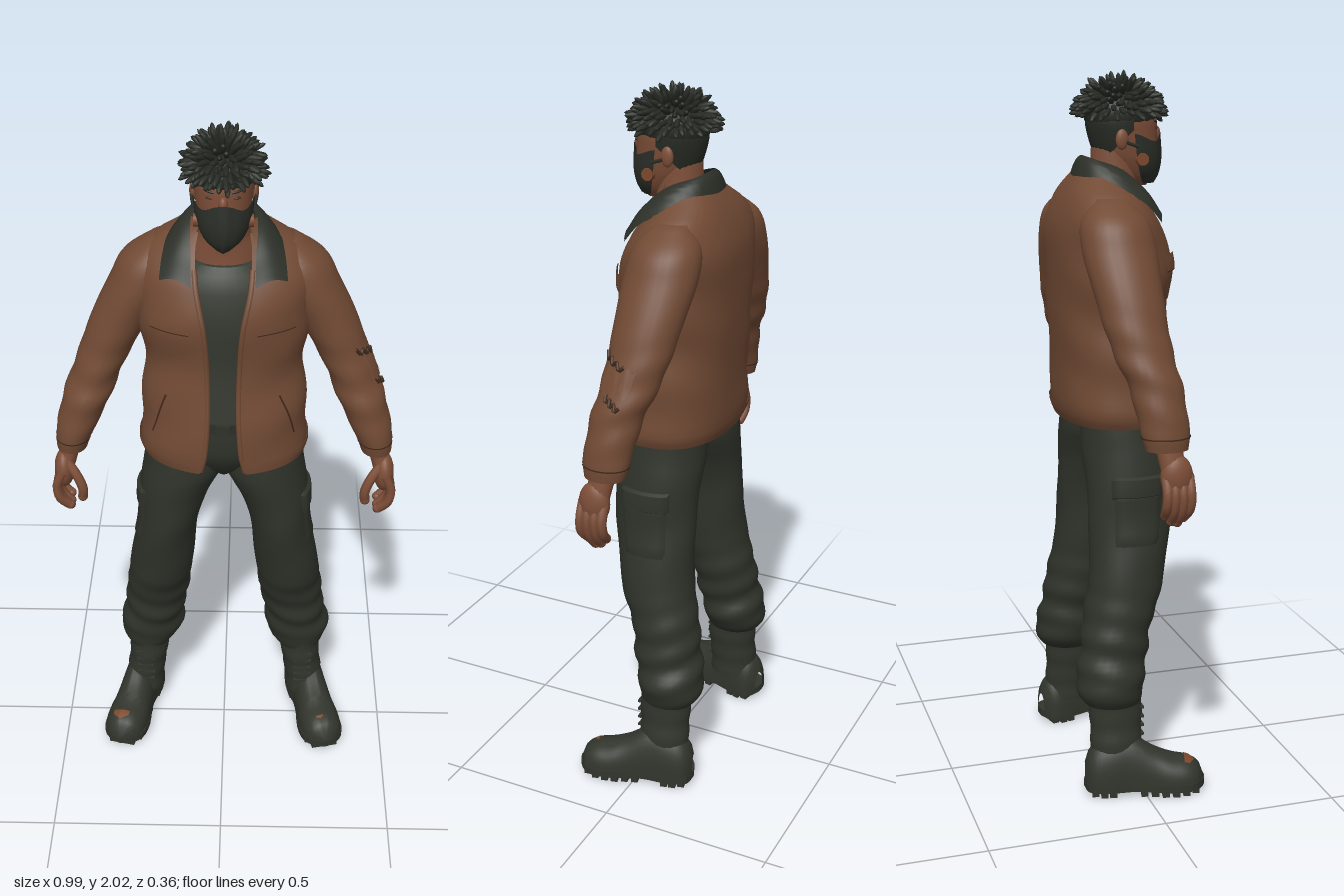
import * as THREE from 'three';
import { mergeGeometries, toCreasedNormals } from 'three/addons/utils/BufferGeometryUtils.js';

const V = (x, y, z) => new THREE.Vector3(x, y, z);
const mat = (name, color, side = THREE.FrontSide) => {
  const m = new THREE.MeshStandardMaterial({ color, side });
  m.name = name;
  return m;
};

// Smooth interpolation of station rows by their first column
function sample(st, t) {
  let i = 0;
  while (i < st.length - 2 && t > st[i + 1][0]) i++;
  const a = st[i], b = st[i + 1], h = b[0] - a[0], k = (t - a[0]) / h;
  const slope = (n, c) => {
    const p = st[Math.max(n - 1, 0)], q = st[Math.min(n + 1, st.length - 1)];
    return (q[c] - p[c]) / (q[0] - p[0]);
  };
  const k2 = k * k, k3 = k2 * k;
  return a.map((_, c) => c === 0 ? t : (2 * k3 - 3 * k2 + 1) * a[c] + (k3 - 2 * k2 + k) * h * slope(i, c)
    + (3 * k2 - 2 * k3) * b[c] + (k3 - k2) * h * slope(i + 1, c));
}

// Surface from a rule fn(u, v), both 0..1
function grid(fn, nu, nv, crease = 0.9) {
  const pos = [], idx = [];
  for (let i = 0; i <= nu; i++) for (let j = 0; j <= nv; j++) pos.push(...fn(i / nu, j / nv).toArray());
  for (let i = 0; i < nu; i++) for (let j = 0; j < nv; j++) {
    const a = i * (nv + 1) + j, b = a + nv + 1;
    idx.push(a, b, a + 1, b, b + 1, a + 1);
  }
  const g = new THREE.BufferGeometry();
  g.setAttribute('position', new THREE.Float32BufferAttribute(pos, 3));
  g.setIndex(idx);
  return toCreasedNormals(g, crease);
}

// Point on an upright loft; stations are [y, x, z, rx, rz]
const onLoft = (st, y, a, k = 1, s = 1, folds = () => 0) => {
  const [, x, z, rx, rz] = sample(st, y), r = k * (1 + folds(y, a));
  return V(s * x + Math.cos(a) * rx * r, y, z + Math.sin(a) * rz * r);
};
// Closed loft with flat end caps
function loft(st, rows = 24, seg = 24, s = 1, folds) {
  const y0 = st[0][0], y1 = st[st.length - 1][0];
  return grid((u, v) => {
    const row = Math.round(u * (rows + 2)) - 1;
    const y = y0 + (y1 - y0) * Math.min(Math.max(row / rows, 0), 1);
    return onLoft(st, y, v * Math.PI * 2, row < 0 || row > rows ? 0 : 1, s, folds);
  }, rows + 2, seg);
}
const tube = (pts, r, n = 10) => new THREE.TubeGeometry(new THREE.CatmullRomCurve3(pts), n, r, 7);

export function createModel() {
  const root = new THREE.Group();
  root.name = 'standingMan';
  const D = THREE.DoubleSide;
  const M = {
    jacket: mat('brown jacket', 0x714a34, D), seam: mat('dark brown seam', 0x3f2819, D),
    skin: mat('skin', 0x7d4e38), pants: mat('dark olive trousers', 0x2f332a),
    boots: mat('dark boots', 0x31352c), shirt: mat('grey green shirt', 0x353930),
    collar: mat('dark collar', 0x2c3028, D), hair: mat('black green hair', 0x262a23, D),
    mask: mat('mask grey', 0x2c2f29, D), scuff: mat('rust scuff', 0x7c472c, D),
  };
  const add = (name, geo, m, parent = root) => {
    const o = new THREE.Mesh(geo, m);
    o.name = name;
    parent.add(o);
    return o;
  };
  const ball = (name, p, r, m, parent = root) => {
    const g = new THREE.SphereGeometry(1, 20, 14);
    g.scale(...r);
    g.translate(...p);
    return add(name, g, m, parent);
  };

  // Open jacket body: [y, x, z, rx, rz, half opening]
  const body = [[1.055, 0, 0.01, 0.222, 0.165, 0.065], [1.09, 0, 0.005, 0.235, 0.172, 0.055],
    [1.2, 0, 0, 0.232, 0.168, 0.045], [1.35, 0, -0.015, 0.222, 0.16, 0.045],
    [1.5, 0, -0.012, 0.24, 0.167, 0.055], [1.6, 0, -0.028, 0.24, 0.15, 0.075],
    [1.675, 0, -0.042, 0.205, 0.112, 0.08], [1.72, 0, -0.045, 0.14, 0.082, 0.075], [1.755, 0, -0.03, 0.09, 0.065, 0.06]];
  const jacketAt = (y, th, off = 0) => {
    const [, , z, rx, rz] = sample(body, y), s = Math.sin(th), c = Math.cos(th);
    const e = c < 0 ? 0.8 : 1;
    const f = 0.004 * Math.sin(y * 34 + 3 * s) * Math.abs(s) + off;
    return V(-(rx + f) * Math.sign(s) * Math.abs(s) ** e, y, z + (rz + f) * Math.sign(c) * Math.abs(c) ** e);
  };
  const gapAt = y => { const r = sample(body, y); return Math.asin(Math.min(r[5] / r[3], 1)); };
  const jacketShell = (y0, y1, off, rows) => grid((u, v) => {
    const y = y0 + (y1 - y0) * u, g = gapAt(y);
    return jacketAt(y, g + (2 * Math.PI - 2 * g) * v, off);
  }, rows, 56);
  add('jacketBody', jacketShell(1.055, 1.755, 0, 36), M.jacket);
  add('jacketLining', jacketShell(1.055, 1.72, -0.012, 24), M.jacket);
  add('jacketHem', jacketShell(1.055, 1.1, 0.005, 3), M.jacket);

  // Sleeves, hands and jacket details, mirrored
  const arm = [[1.05, 0.437, 0.015, 0.044, 0.058], [1.09, 0.43, 0.013, 0.052, 0.066], [1.2, 0.393, 0, 0.067, 0.072],
    [1.32, 0.345, -0.03, 0.071, 0.083], [1.45, 0.285, -0.045, 0.083, 0.094], [1.56, 0.225, -0.052, 0.09, 0.102],
    [1.63, 0.195, -0.055, 0.082, 0.09], [1.685, 0.165, -0.055, 0.035, 0.045]];
  const armFolds = (y, a) => 0.045 * Math.sin(y * 62 + 2 * Math.sin(a)) * Math.max(0, 1 - Math.abs(y - 1.24) / 0.2);
  const leg = [[0.265, 0.24, -0.075, 0.066, 0.08], [0.29, 0.235, -0.078, 0.085, 0.093], [0.33, 0.23, -0.08, 0.1, 0.096],
    [0.4, 0.22, -0.066, 0.091, 0.097], [0.5, 0.205, -0.05, 0.095, 0.1], [0.6, 0.193, -0.022, 0.096, 0.107],
    [0.8, 0.165, 0, 0.089, 0.12], [0.9, 0.147, 0.002, 0.1, 0.125], [0.96, 0.128, 0.002, 0.113, 0.127],
    [1.0, 0.115, 0.002, 0.12, 0.127], [1.14, 0.105, 0, 0.105, 0.122]];
  const legFolds = (y, a) => 0.055 * Math.sin(y * 75 + 2 * Math.sin(a + 0.6)) * Math.max(0, 1 - Math.abs(y - 0.4) / 0.22)
    + 0.012 * Math.sin(y * 30 + 2 * a);
  // Boot upper: [z, half width, height]
  const foot = [[-0.15, 0.02, 0.06], [-0.135, 0.05, 0.1], [-0.09, 0.06, 0.13], [-0.02, 0.056, 0.14], [0.05, 0.06, 0.1],
    [0.1, 0.066, 0.078], [0.15, 0.06, 0.066], [0.18, 0.04, 0.045], [0.192, 0.01, 0.012]];
  const footAt = (z, a, off = 0) => {
    const [, w, h] = sample(foot, z);
    return V((w + off) * Math.cos(a), 0.03 + (h + off) * Math.max(Math.sin(a), 0) ** 0.8, z);
  };

  for (const s of [1, -1]) {
    const side = s > 0 ? 'left' : 'right';
    const patch = (name, y0, y1, t0, t1, skew, off, m) => add(side + name, grid((u, v) =>
      jacketAt(y0 + (y1 - y0) * u, -s * (t0 + (t1 - t0) * v + skew * u), off), 6, 8), m);
    patch('ChestPocket', 1.4, 1.5, 0.42, 0.86, 0, 0.003, M.jacket);
    patch('ChestFlap', 1.485, 1.53, 0.38, 0.92, 0, 0.008, M.jacket);
    patch('PocketSeam', 1.482, 1.485, 0.38, 0.92, 0, 0.008, M.seam);
    patch('WeltPocket', 1.15, 1.28, 0.98, 1.01, -0.25, 0.004, M.seam);
    add(side + 'FrontEdge', tube(Array.from({ length: 14 }, (_, i) => {
      const y = 1.058 + i * 0.045;
      return jacketAt(y, -s * gapAt(y), -0.005);
    }), 0.008, 40), M.jacket);

    add(side + 'Sleeve', loft(arm, 48, 26, s, armFolds), M.jacket);
    add(side + 'CuffSeam', grid((u, v) => onLoft(arm, 1.082 + u * 0.004, v * Math.PI * 2, 1.03, s, armFolds), 1, 24), M.seam);

    const hand = new THREE.Group();
    hand.name = side + 'Hand';
    root.add(hand);
    add('wrist', loft([[0.99, 0.458, 0.03, 0.027, 0.037], [1.03, 0.448, 0.022, 0.029, 0.036], [1.08, 0.434, 0.015, 0.032, 0.04]], 6, 16, s), M.skin, hand);
    ball('palm', [s * 0.462, 0.98, 0.034], [0.029, 0.06, 0.045], M.skin, hand);
    [0.068, 0.046, 0.024, 0.003].forEach((z, i) => {
      const d = [0.012, 0, 0.004, 0.02][i], zt = 0.025 + (z - 0.025) * 0.75;
      add('finger', tube([V(s * 0.463, 0.985, z), V(s * 0.483, 0.935, z), V(s * 0.477, 0.89 + d * 0.5, z), V(s * 0.45, 0.852 + d, zt)], 0.014), M.skin, hand);
      ball('fingertip', [s * 0.45, 0.852 + d, zt], [0.014, 0.014, 0.014], M.skin, hand);
    });
    add('thumb', tube([V(s * 0.452, 1.01, 0.05), V(s * 0.422, 0.97, 0.068), V(s * 0.408, 0.93, 0.072), V(s * 0.41, 0.9, 0.066)], 0.0145), M.skin, hand);
    ball('thumbTip', [s * 0.41, 0.9, 0.066], [0.0145, 0.0145, 0.0145], M.skin, hand);

    // Trouser leg with cargo pocket
    add(side + 'Leg', loft(leg, 64, 28, s, legFolds), M.pants);
    const mid = s > 0 ? 0 : Math.PI;
    const cargo = (name, y0, y1, k, w) => add(side + name, grid((u, v) => {
      const edge = Math.min(u, v, 1 - u, 1 - v) < 0.01 ? 0.97 : k;
      return onLoft(leg, y0 + (y1 - y0) * u, mid - w + 2 * w * v, edge, s, legFolds);
    }, 8, 10), M.pants);
    cargo('CargoPocket', 0.72, 0.9, 1.05, 0.62);
    cargo('CargoFlap', 0.86, 0.925, 1.09, 0.68);

    // Boot
    add(side + 'BootShaft', loft([[0.08, 0.256, -0.07, 0.058, 0.076], [0.15, 0.252, -0.068, 0.059, 0.074],
      [0.22, 0.243, -0.066, 0.06, 0.076], [0.31, 0.238, -0.07, 0.066, 0.08]], 18, 22, s,
      (y) => 0.02 * Math.sin(y * 90)), M.boots);
    const boot = new THREE.Group();
    boot.name = side + 'Boot';
    boot.position.set(s * 0.282, 0, -0.014);
    boot.rotation.y = s * 0.23;
    root.add(boot);
    add('bootUpper', grid((u, v) => footAt(-0.15 + 0.342 * u, Math.PI * (1 - v)), 30, 20), M.boots, boot);
    const outline = new THREE.Shape();
    outline.setFromPoints(new THREE.SplineCurve([[0, 0.152], [-0.05, 0.135], [-0.058, 0.07], [-0.052, 0], [-0.068, -0.1],
      [-0.056, -0.165], [0, -0.196], [0.056, -0.165], [0.068, -0.1], [0.052, 0], [0.058, 0.07], [0.05, 0.135], [0, 0.152]]
      .map(p => new THREE.Vector2(...p))).getPoints(40));
    const sole = new THREE.ExtrudeGeometry(outline, { depth: 0.022, bevelEnabled: false });
    sole.rotateX(-Math.PI / 2);
    sole.translate(0, 0.016, 0);
    add('sole', sole, M.boots, boot);
    for (const [z, w] of [[-0.12, 0.09], [-0.095, 0.108], [-0.07, 0.108], [0.02, 0.104], [0.05, 0.112], [0.08, 0.124], [0.11, 0.124], [0.14, 0.112], [0.168, 0.08]])
      add('tread', new THREE.BoxGeometry(w, 0.018, 0.02).translate(0, 0.009, z), M.boots, boot);
    const [z0, length, w] = s > 0 ? [0.14, 0.012, 0.18] : [0.135, 0.03, 0.4];
    add('toeScuff', grid((u, v) => footAt(z0 + length * u * (1 - 0.5 * Math.abs(2 * v - 1)), Math.PI / 2 + 0.15 + w * (1 - 2 * v), 0.003), 4, 8), M.scuff, boot);
    for (let i = 0; i < 5; i++)
      add(side + 'Lace', new THREE.BoxGeometry(0.055, 0.007, 0.01).translate(s * 0.25, 0.14 + i * 0.027, 0.004), M.boots);
  }

  // Torn cloth on the left sleeve: raised ragged flap with dark rips
  add('sleeveTornFlap', grid((u, v) => onLoft(arm, 1.285 + 0.065 * u + 0.008 * Math.sin(v * 19), 0.75 - 1.1 * v,
    1.02 + 0.1 * (1 - u), 1, armFolds), 4, 14), M.jacket);
  [[1.375, 0.5, 0.9], [1.275, 0.1, 0.7]].forEach(([y, a, w]) => add('sleeveRip', tube(
    Array.from({ length: 7 }, (_, i) => onLoft(arm, y + (i % 2 ? -0.008 : 0.006) - 0.004 * i, a + w / 2 - i * w / 6, 1.03, 1, armFolds)), 0.005, 24), M.seam));

  // Hips, belt, shirt
  add('hips', loft([[0.985, 0, 0, 0.03, 0.07], [1.02, 0, 0, 0.13, 0.1], [1.08, 0, 0, 0.195, 0.13], [1.2, 0, 0, 0.19, 0.132]], 14, 32), M.pants);
  add('belt', loft([[1.165, 0, 0, 0.192, 0.14], [1.195, 0, 0, 0.192, 0.14]], 1, 32), M.collar);
  add('beltBuckle', new THREE.BoxGeometry(0.04, 0.03, 0.009).translate(0, 1.18, 0.141), M.pants);
  add('shirt', loft([[1.19, 0, 0, 0.18, 0.135], [1.35, 0, -0.01, 0.18, 0.13], [1.5, 0, -0.01, 0.19, 0.135],
    [1.6, 0, -0.02, 0.17, 0.125], [1.65, 0, -0.02, 0.11, 0.098]], 20, 32), M.shirt);
  add('neck', loft([[1.62, 0, -0.02, 0.1, 0.09], [1.68, 0, -0.012, 0.085, 0.078], [1.72, 0, 0, 0.066, 0.068], [1.82, 0, 0.005, 0.06, 0.065]], 14, 24), M.skin);

  // Folded collar
  const half = (pts) => new THREE.CatmullRomCurve3([...pts.map(p => V(-p[0], p[1], p[2])), ...pts.slice(0, -1).reverse().map(p => V(...p))]);
  const inner = half([[0.085, 1.62, 0.118], [0.086, 1.69, 0.075], [0.088, 1.755, 0], [0.06, 1.782, -0.07], [0, 1.79, -0.088]]);
  const outer = half([[0.17, 1.622, 0.088], [0.162, 1.675, 0.042], [0.142, 1.71, -0.04], [0.085, 1.725, -0.1], [0, 1.73, -0.116]]);
  for (const drop of [0, 0.012])
    add('collar', grid((u, v) => inner.getPoint(u).lerp(outer.getPoint(u), v).add(V(0, 0.014 * Math.sin(Math.PI * v) - drop * (1 - v * 0.5), 0)), 36, 8), M.collar);

  // Head and face
  const head = [[1.705, 0, 0.068, 0.02, 0.03], [1.73, 0, 0.06, 0.044, 0.055], [1.78, 0, 0.042, 0.066, 0.084], [1.85, 0, 0.029, 0.077, 0.098],
    [1.9, 0, 0.024, 0.077, 0.097], [1.93, 0, 0.02, 0.058, 0.075], [1.945, 0, 0.02, 0.03, 0.04]];
  add('head', loft(head, 24, 28), M.skin);
  ball('nose', [0, 1.848, 0.124], [0.013, 0.022, 0.015], M.skin);
  add('shavedSides', grid((u, v) => {
    const back = Math.sin(Math.PI * v);
    return onLoft(head, 1.86 - 0.09 * back + (0.05 + 0.09 * back) * u, Math.PI * (0.97 + 1.06 * v), 1.035);
  }, 10, 20), M.hair);
  const maskSt = [[1.71, 0, 0.078, 0.022, 0.034], [1.735, 0, 0.06, 0.052, 0.066], [1.78, 0, 0.043, 0.072, 0.091], [1.85, 0, 0.032, 0.081, 0.098]];
  add('faceMask', grid((u, v) => {
    const a = Math.PI * (0.02 + 0.96 * v), c = Math.cos(a);
    const p = onLoft(maskSt, 1.71 + u * (0.14 - 0.022 * Math.sin(2 * a) ** 2), a, 1.02);
    p.z += 0.008 * Math.max(0, 1 - Math.abs(c) * 3);
    return p;
  }, 14, 28), M.mask);
  for (const s of [1, -1]) {
    ball('ear', [s * 0.081, 1.835, 0.002], [0.01, 0.028, 0.018], M.skin);
    ball('eye', [s * 0.031, 1.864, 0.114], [0.014, 0.004, 0.006], M.seam);
    const brow = ball('eyebrow', [0, 0, 0], [0.02, 0.004, 0.006], M.hair);
    brow.position.set(s * 0.032, 1.88, 0.113);
    brow.rotation.set(0, s * 0.35, s * 0.15);
    add('maskFilter', new THREE.CylinderGeometry(0.017, 0.019, 0.014, 18).rotateZ(-s * Math.PI / 2).translate(s * 0.072, 1.78, 0.064), M.scuff);
    add('maskStrap', tube([V(s * 0.079, 1.815, 0.05), V(s * 0.084, 1.825, 0.02), V(s * 0.083, 1.84, -0.01)], 0.005), M.mask);
  }

  // Hair: cap and radiating locks, hanging over the brow and temples
  ball('hairCap', [0, 1.9, 0.022], [0.084, 0.068, 0.104], M.hair);
  let seed = 7;
  const rnd = () => (seed = (seed * 16807) % 2147483647) / 2147483647;
  const locks = [], up = V(0, 1, 0), count = 180;
  for (let i = 0; i < count; i++) {
    const ny = 1 - (i + 0.5) / count, r = Math.sqrt(1 - ny * ny), a = i * 2.39996;
    const n = V(r * Math.cos(a), ny, r * Math.sin(a));
    const dir = V(n.x + (rnd() - 0.5) * 0.4, ny * 1.1 - 0.75 + rnd() * 0.5, n.z + (rnd() - 0.5) * 0.4).normalize();
    const len = 0.05 + rnd() * 0.018;
    const g = new THREE.SphereGeometry(1, 7, 5).scale(0.0085, len / 2, 0.0085).translate(0, len * 0.25, 0);
    g.applyQuaternion(new THREE.Quaternion().setFromUnitVectors(up, dir));
    g.translate(n.x * 0.077, 1.905 + n.y * 0.068, 0.02 + n.z * 0.098);
    locks.push(g);
  }
  for (let i = 0; i < 14; i++) {
    const a = i * 2.4, len = 0.05;
    const g = new THREE.ConeGeometry(0.0095, len, 6).translate(0, len / 2, 0);
    g.rotateX(0.5 + rnd() * 0.5).rotateY(a).translate(Math.sin(a) * 0.02, 1.955, 0.02 + Math.cos(a) * 0.03);
    locks.push(g);
  }
  add('hairLocks', mergeGeometries(locks), M.hair);
  return root;
}
